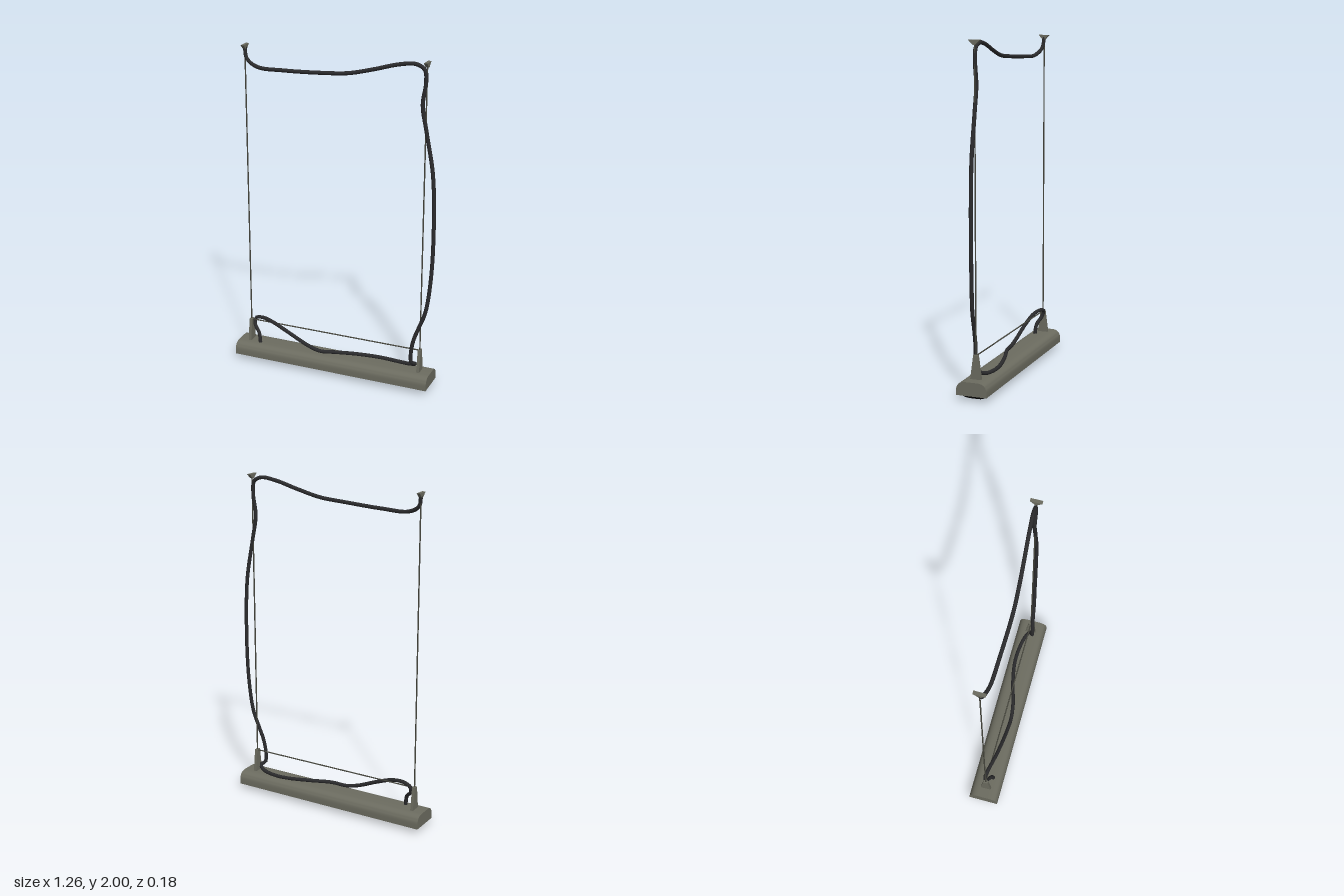
import * as THREE from 'three';
import { toCreasedNormals } from 'three/addons/utils/BufferGeometryUtils.js';

const mat = (name, color) => {
  const m = new THREE.MeshStandardMaterial({ color });
  m.name = name;
  return m;
};

export function createModel() {
  const group = new THREE.Group();
  const metal = mat('warm grey metal', 0x6c6c60);
  const wireMat = mat('dark steel', 0x48483f);
  const cableMat = mat('black rubber', 0x2b2b2d);
  const lensMat = mat('black lens', 0x060606);

  const add = (name, geometry, material, x = 0, y = 0, z = 0) => {
    const mesh = new THREE.Mesh(geometry, material);
    mesh.name = name;
    mesh.position.set(x, y, z);
    group.add(mesh);
    return mesh;
  };

  // Extrude a (z, y) outline along x, centred on x = 0
  const extrudeX = (shape, length) => {
    const g = new THREE.ExtrudeGeometry(shape, { depth: length, bevelEnabled: false, curveSegments: 8 });
    g.translate(0, 0, -length / 2);
    g.rotateY(-Math.PI / 2);
    return toCreasedNormals(g, 0.6);
  };

  // Housing with a rounded top
  const body = new THREE.Shape();
  body.moveTo(-0.092, 0.03);
  body.lineTo(0.092, 0.03);
  body.lineTo(0.092, 0.06);
  body.bezierCurveTo(0.09, 0.092, 0.072, 0.11, 0.036, 0.11);
  body.lineTo(-0.036, 0.11);
  body.bezierCurveTo(-0.072, 0.11, -0.09, 0.092, -0.092, 0.06);
  body.closePath();
  add('housing', extrudeX(body, 1.262), metal, -0.003);

  // Lens: stacked rectangles, [half length, half width, y], closed underneath
  const rings = [[0.608, 0.078, 0.031], [0.6, 0.07, 0.02], [0.588, 0.052, 0.008], [0.575, 0.03, 0.001]];
  const pos = [];
  const corners = ([a, b, y]) => [[-a, y, b], [a, y, b], [a, y, -b], [-a, y, -b]];
  const quad = (a, b, c, d) => pos.push(...a, ...b, ...c, ...a, ...c, ...d);
  for (let i = 0; i < rings.length - 1; i++) {
    const up = corners(rings[i]), low = corners(rings[i + 1]);
    for (let k = 0; k < 4; k++) {
      const n = (k + 1) % 4;
      quad(low[k], low[n], up[n], up[k]);
    }
  }
  const base = corners(rings[rings.length - 1]);
  quad(base[3], base[2], base[1], base[0]);
  const lens = new THREE.BufferGeometry();
  lens.setAttribute('position', new THREE.Float32BufferAttribute(pos, 3));
  lens.computeVertexNormals();
  add('lens', lens, lensMat, -0.004, 0, 0);

  // Brackets, ceiling anchors and suspension wires at both ends
  const trapezoid = (lowHalf, highHalf, y0, y1) => new THREE.Shape([
    new THREE.Vector2(-lowHalf, y0), new THREE.Vector2(lowHalf, y0),
    new THREE.Vector2(highHalf, y1), new THREE.Vector2(-highHalf, y1),
  ]);
  for (const [side, x] of [['right', -0.563], ['left', 0.555]]) {
    add(side + 'Bracket', extrudeX(trapezoid(0.034, 0.014, 0.1, 0.25), 0.018), metal, x);
    add(side + 'Anchor', extrudeX(trapezoid(0.006, 0.035, 1.972, 2), 0.02), metal, x);
    add(side + 'Wire', new THREE.CylinderGeometry(0.0042, 0.0042, 1.74, 8), wireMat, x, 1.115);
  }
  const cross = new THREE.CylinderGeometry(0.004, 0.004, 1.118, 8);
  cross.rotateZ(Math.PI / 2);
  add('crossWire', cross, wireMat, -0.004, 0.245);

  // Power cable: along the top, down the left wire, back over the housing
  const path = [
    [-0.563, 1.985, 0], [-0.55, 1.922, 0.008], [-0.475, 1.88, 0.026], [-0.3, 1.877, 0.033],
    [-0.05, 1.888, 0.036], [0.1, 1.9, 0.028], [0.25, 1.935, 0.017], [0.39, 1.973, 0.006],
    [0.49, 1.983, 0], [0.541, 1.955, 0], [0.549, 1.88, 0], [0.533, 1.755, 0],
    [0.56, 1.6, 0], [0.605, 1.35, 0], [0.619, 1.0, 0], [0.61, 0.7, 0.002],
    [0.585, 0.5, 0.008], [0.55, 0.4, 0.013], [0.519, 0.31, 0.019], [0.506, 0.22, 0.023],
    [0.51, 0.165, 0.02], [0.53, 0.15, 0], [0.49, 0.129, -0.025], [0.4, 0.121, -0.042],
    [0.3, 0.124, -0.043], [0.15, 0.132, -0.015], [0.02, 0.136, 0.022], [-0.08, 0.131, 0.036],
    [-0.16, 0.152, 0.035], [-0.3, 0.213, 0.026], [-0.41, 0.255, 0.012], [-0.49, 0.266, -0.004],
    [-0.54, 0.25, -0.012], [-0.54, 0.212, 0], [-0.502, 0.168, 0.022], [-0.49, 0.1, 0.03],
  ].map(p => new THREE.Vector3(...p));
  const curve = new THREE.CatmullRomCurve3(path, false, 'centripetal');
  add('powerCable', new THREE.TubeGeometry(curve, 240, 0.0115, 8, false), cableMat);

  return group;
}
